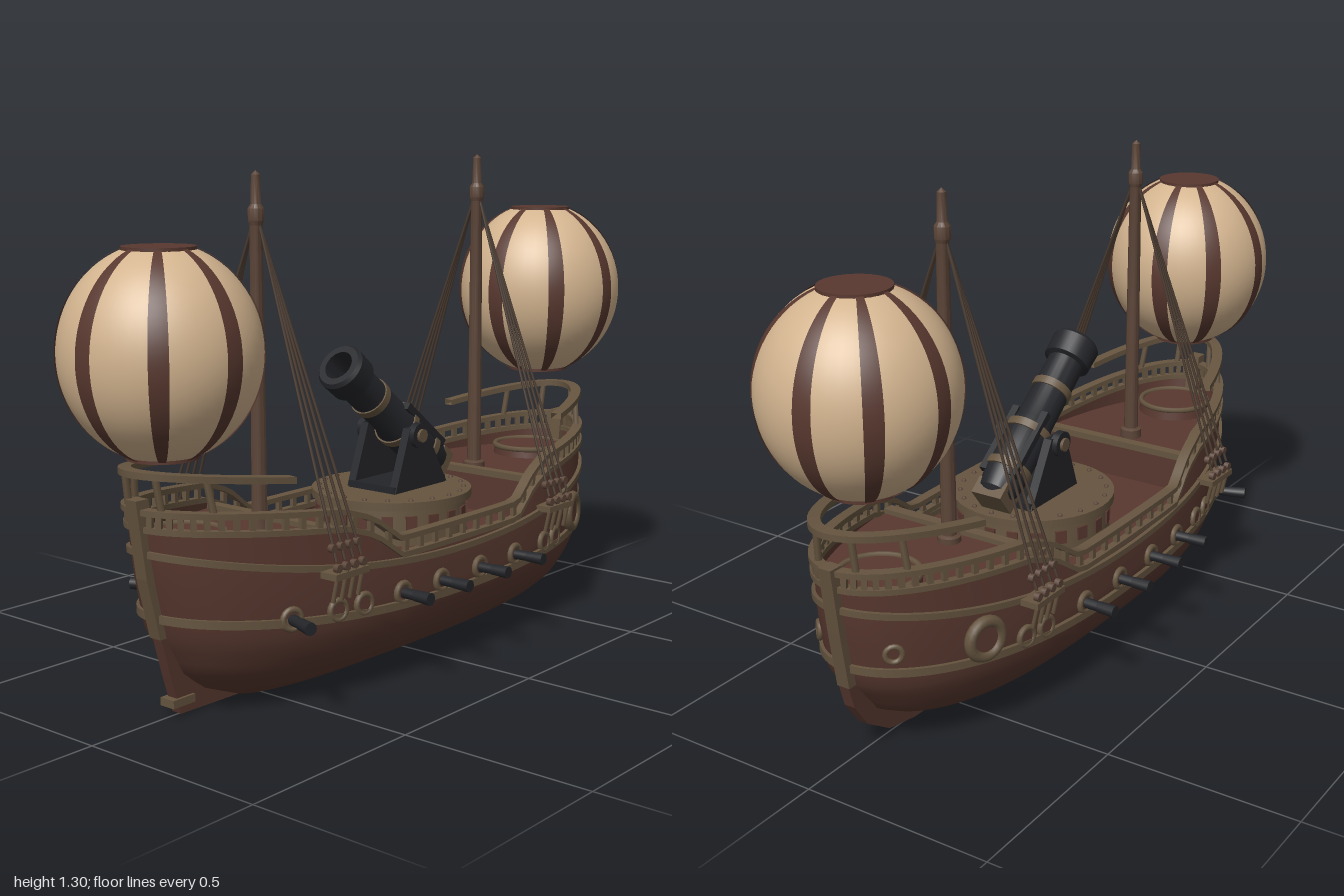
import * as THREE from 'three';
import { toCreasedNormals } from 'three/addons/utils/BufferGeometryUtils.js';

const mat = (name, color) => new THREE.MeshStandardMaterial({ name, color, side: THREE.DoubleSide });
const V = (x, y, z) => new THREE.Vector3(x, y, z);

// Linear lookup in a short table of [input, output] pairs
function table(pts, t) {
  if (t <= pts[0][0]) return pts[0][1];
  for (let i = 1; i < pts.length; i++) {
    const [a, va] = pts[i - 1], [b, vb] = pts[i];
    if (t <= b) return va + (vb - va) * (t - a) / (b - a);
  }
  return pts[pts.length - 1][1];
}

// Hull lines: stern and bow ends and half width by height, sheer height by length
const sternX = y => table([[0, -.55], [.05, -.67], [.1, -.73], [.2, -.785], [.35, -.82], [.6, -.86]], y);
const bowX = y => table([[0, .5], [.05, .68], [.1, .765], [.2, .84], [.35, .87], [.6, .895]], y);
const halfW = y => table([[0, .09], [.03, .15], [.06, .2], [.1, .242], [.15, .268], [.2, .28], [.3, .277], [.45, .258], [.6, .225]], y);
const sheer = u => table([[-1, .47], [-.5, .425], [-.4, .395], [-.3, .33], [.29, .33], [.4, .395], [.5, .425], [1, .465]], u);
const plan = u => Math.sqrt(Math.max(0, 1 - Math.abs(u) ** 2.8));

// Point on the hull at angle a (0 = bow, PI = stern) and height y, pushed out by off
function hullRaw(a, y) {
  const s = sternX(y), b = bowX(y), u = Math.cos(a);
  return V((s + b) / 2 + u * (b - s) / 2, y, halfW(y) * plan(u) * Math.sign(Math.sin(a)));
}
function hullNormal(a, y) {
  const t = hullRaw(a + .01, y).sub(hullRaw(a - .01, y));
  return V(t.z, 0, -t.x).normalize();
}
const hullPoint = (a, y, off = 0) => hullRaw(a, y).addScaledVector(hullNormal(a, y), off);
const angleAt = (x, y, side) => {
  const s = sternX(y), b = bowX(y);
  return side * Math.acos((x - (s + b) / 2) / ((b - s) / 2));
};

// Grid surface from a rule; its front is du x dv
function grid(nu, nv, fn) {
  const pos = [], idx = [];
  for (let i = 0; i <= nu; i++) for (let j = 0; j <= nv; j++) pos.push(...fn(i / nu, j / nv, i).toArray());
  for (let i = 0; i < nu; i++) for (let j = 0; j < nv; j++) {
    const a = i * (nv + 1) + j, b = a + nv + 1;
    idx.push(a, b, b + 1, a, b + 1, a + 1);
  }
  const g = new THREE.BufferGeometry();
  g.setAttribute('position', new THREE.Float32BufferAttribute(pos, 3));
  g.setIndex(idx);
  g.computeVertexNormals();
  return g;
}

export function createModel() {
  const wood = mat('brownWood', 0x58382f), trim = mat('weatheredTrim', 0x65543f), cream = mat('creamCanvas', 0xd3b48f);
  const iron = mat('blackIron', 0x242529), rope = mat('rope', 0x4a3b30), spar = mat('mastWood', 0x5c4538);
  const root = new THREE.Group();
  root.name = 'flyingShip';

  const add = (name, geo, m, x = 0, y = 0, z = 0, parent = root) => {
    const mesh = new THREE.Mesh(geo, m);
    mesh.name = name;
    mesh.position.set(x, y, z);
    parent.add(mesh);
    return mesh;
  };
  const box = (w, h, d) => new THREE.BoxGeometry(w, h, d);
  const cyl = (r1, r2, h, n = 16) => new THREE.CylinderGeometry(r1, r2, h, n);
  const rod = (name, p, q, r, m, n = 6) => {
    const mid = p.clone().add(q).multiplyScalar(.5), d = q.clone().sub(p);
    const mesh = add(name, cyl(r, r, d.length(), n), m, mid.x, mid.y, mid.z);
    mesh.quaternion.setFromUnitVectors(V(0, 1, 0), d.normalize());
    return mesh;
  };
  const plate = (name, pts, depth, m, z = 0) => {
    const shape = new THREE.Shape(pts.map(p => new THREE.Vector2(...p)));
    return add(name, new THREE.ExtrudeGeometry(shape, { depth, bevelEnabled: false }), m, 0, 0, z - depth / 2);
  };
  // Square-edged strip following the hull
  const band = (name, yOf, h, off, t, a0, a1, n, m) => {
    const sec = [[0, -1], [1, -1], [1, 1], [0, 1], [0, -1]];
    add(name, toCreasedNormals(grid(4, n, (s, v, i) => {
      const a = a0 + (a1 - a0) * v, y = yOf(Math.cos(a));
      const p = hullPoint(a, y, off + t * sec[i][0]);
      p.y += sec[i][1] * h / 2;
      return p;
    }), .7), m);
  };
  // Group on the hull side with local +z pointing outwards
  const onHull = (name, a, y) => {
    const g = new THREE.Group(), n = hullNormal(a, y);
    g.name = name;
    g.position.copy(hullPoint(a, y));
    g.rotation.y = Math.atan2(n.x, n.z);
    root.add(g);
    return g;
  };

  // Hull shell with flat bottom
  add('hull', grid(15, 144, (u, v, i) => {
    const a = v * Math.PI * 2;
    const p = hullRaw(a, sheer(Math.cos(a)) * (Math.max(0, i - 1) / 14) ** 1.5);
    if (i === 0) p.z = 0;
    return p;
  }), wood);

  // Wales, rails and rail posts
  const TAU = Math.PI * 2;
  band('lowerWale', u => .2 + .05 * u * u, .02, -.004, .014, 0, TAU, 120, trim);
  band('upperWale', u => .305 + .105 * u * u, .016, -.004, .014, 0, TAU, 120, trim);
  band('sheerStrake', u => sheer(u), .014, -.01, .02, 0, TAU, 144, trim);
  band('railCap', u => sheer(u) + .042, .014, -.016, .028, 0, TAU, 144, trim);
  for (let k = 0; k < 90; k++) {
    const a = (k + .5) / 90 * TAU, y = sheer(Math.cos(a)) + .021;
    add('railPost', box(.014, .036, .012), trim, 0, 0, 0, onHull('railPostMount', a, y));
  }
  for (const end of [0, Math.PI]) {
    band('highRail', u => .6 - .11 * (1 - Math.abs(u)), .016, -.02, .03, end - .88, end + .88, 28, trim);
    for (const d of [-.5, -.2, .2, .5]) {
      const a = end + d, top = .6 - .11 * (1 - Math.abs(Math.cos(a)));
      rod('highRailPost', hullPoint(a, sheer(Math.cos(a)) + .04, -.005), hullPoint(a, top, -.005), .009, trim);
    }
  }

  // Decks and bulkheads
  const deck = (name, x0, x1, y) => add(name, grid(24, 2, (u, v) => {
    const x = x0 + (x1 - x0) * u;
    return V(x, y, Math.abs(hullRaw(angleAt(x, y, 1), y).z) * .99 * (1 - 2 * v));
  }), wood);
  deck('waistDeck', -.39, .39, .3);
  deck('sternDeck', -.825, -.38, .4);
  deck('bowDeck', .38, .872, .41);
  for (const [x, y] of [[-.38, .4], [.385, .41]]) {
    add('bulkhead', box(.015, y - .3, .49), wood, x, (y + .3) / 2);
    add('bulkheadBeam', box(.03, .018, .48), trim, x, y + .004);
  }
  for (const x of [-.71, .72]) {
    add('deckHatch', cyl(.1, .105, .03, 24), wood, x, .42);
    add('hatchRim', new THREE.TorusGeometry(.1, .008, 6, 28), trim, x, .435).rotation.x = Math.PI / 2;
  }

  // Stem, skeg and rudder irons
  plate('stem', [[.5, 0], [.62, .004], [.72, .022], [.8, .075], [.845, .14], [.865, .21], [.8, .21], [.7, .08]], .03, wood);
  plate('stemPost', [[.83, .2], [.864, .2], [.888, .35], [.91, .52], [.87, .52], [.85, .35]], .036, trim);
  plate('skeg', [[-.5, 0], [-.74, .004], [-.77, .1], [-.8, .21], [-.74, .21], [-.66, .07]], .03, wood);
  plate('sternPost', [[-.77, .2], [-.803, .2], [-.84, .35], [-.868, .54], [-.83, .54], [-.8, .35]], .036, trim);
  add('rudderIron', box(.07, .02, .045), trim, -.735, .035);

  // Gun ports, guns and large side rings
  for (const side of [1, -1]) {
    for (const x of [-.57, -.445, -.365, -.23, -.08, .085, .25, .41, .48]) {
      const port = onHull('gunPort', angleAt(x, .235, side), .235);
      add('portRing', new THREE.TorusGeometry(.024, .008, 8, 18), trim, 0, 0, .004, port);
      add('portHole', cyl(.02, .02, .008), wood, 0, 0, .004, port).rotation.x = Math.PI / 2;
      if ([-.57, -.23, -.08, .085, .25].includes(x)) {
        add('gunBarrel', cyl(.012, .014, .1, 12), iron, 0, 0, .045, port).rotation.x = Math.PI / 2;
        add('gunMuzzle', cyl(.016, .014, .05, 12), iron, 0, 0, .07, port).rotation.x = Math.PI / 2;
      }
    }
    const ring = onHull('sideRing', angleAt(.61, .28, side), .28);
    add('ringFrame', new THREE.TorusGeometry(.045, .015, 8, 24), trim, 0, 0, .008, ring);
    add('ringPlate', cyl(.042, .042, .02, 20), wood, 0, 0, .004, ring).rotation.x = Math.PI / 2;
    const eye = onHull('bowPort', angleAt(.81, .295, side), .295);
    add('bowPortRing', new THREE.TorusGeometry(.02, .007, 8, 16), trim, 0, 0, .003, eye);
  }

  // Masts with shrouds, channels and deadeyes
  for (const [mx, top] of [[-.45, 1.27], [.443, 1.3]]) {
    const prof = [[0, .4], [.03, .4], [.03, .425], [.02, .43], [.018, .8], [.016, top - .13], [.02, top - .12],
      [.02, top - .09], [.013, top - .08], [.011, top - .01], [0, top]];
    add('mast', toCreasedNormals(new THREE.LatheGeometry(prof.map(p => new THREE.Vector2(...p)), 12), .6), spar, mx, 0, 0);
    for (const side of [1, -1]) {
      add('channel', box(.12, .016, .05), trim, mx, .335, side * .278);
      for (let k = 0; k < 4; k++) {
        const x = mx - .045 + k * .03;
        rod('shroud', V(x, .37, side * .29), V(mx, top - .13, side * .012), .004, rope, 5);
        rod('chainPlate', V(x, .27, side * .279), V(x, .345, side * .296), .006, trim);
        for (const y of [.355, .4]) {
          const z = side * (.294 - (y - .355) * .36);
          add('deadeye', cyl(.011, .011, .014, 8), spar, x, y, z).rotation.x = Math.PI / 2;
        }
      }
    }
  }

  // Turntable
  const tx = .065;
  add('turntableDrum', cyl(.2, .205, .1, 40), trim, tx, .35);
  add('turntableTop', cyl(.216, .216, .022, 40), trim, tx, .406);
  for (let k = 0; k < 20; k++) {
    const a = k / 20 * TAU;
    add('rivet', new THREE.SphereGeometry(.007, 8, 5), spar, tx + .195 * Math.cos(a), .417, .195 * Math.sin(a));
    const slot = add('drumSlot', box(.03, .035, .006), wood, tx + .203 * Math.cos(a), .36, .203 * Math.sin(a));
    slot.rotation.y = Math.PI / 2 - a;
  }

  // Mortar carriage
  add('carriageBase', box(.22, .02, .16), iron, .09, .425);
  for (const side of [1, -1]) {
    plate('carriageCheek', [[-.02, .42], [.2, .42], [.17, .47], [.105, .585], [.04, .585]], .024, iron, side * .072);
    add('trunnion', cyl(.034, .034, .02, 18), iron, .07, .565, side * .088).rotation.x = Math.PI / 2;
    add('trunnionCap', cyl(.018, .018, .012, 12), trim, .07, .565, side * .1).rotation.x = Math.PI / 2;
  }

  // Mortar barrel with bands
  const mortar = new THREE.Group();
  mortar.name = 'mortar';
  mortar.position.set(.065, .6, 0);
  mortar.rotation.z = THREE.MathUtils.degToRad(52);
  root.add(mortar);
  const barrel = [[0, -.24], [.03, -.24], [.05, -.22], [.058, -.17], [.06, -.02], [.052, 0], [.05, .2], [.064, .205],
    [.066, .265], [.058, .275], [.04, .275], [.036, .15], [0, .15]];
  add('barrel', toCreasedNormals(new THREE.LatheGeometry(barrel.map(p => new THREE.Vector2(...p)), 28), .5), iron, 0, 0, 0, mortar);
  for (const [y, r] of [[-.15, .063], [-.03, .064], [.11, .055]])
    add('barrelBand', cyl(r, r, .022, 28), trim, 0, y, 0, mortar);
  add('breechBlock', box(.075, .05, .09), trim, 0, -.225, 0, mortar);
  for (const z of [-.045, .045]) add('barrelRib', box(.02, .2, .02), iron, .035, -.08, z, mortar);

  // Striped balloons
  for (const [x, y] of [[-.765, .865], [.763, .903]]) {
    const balloon = new THREE.Group();
    balloon.name = 'balloon';
    balloon.position.set(x, y, 0);
    root.add(balloon);
    const t0 = .36, t1 = Math.PI - .72;
    const skin = add('canvas', new THREE.SphereGeometry(.235, 48, 28, 0, TAU, t0, t1), cream, 0, 0, 0, balloon);
    skin.scale.y = 1.07;
    for (const deg of [0, 46, 99, 137, 180, 225, 272, 316]) {
      const phi = THREE.MathUtils.degToRad(deg + 90 - 5.5);
      const stripe = new THREE.SphereGeometry(.238, 4, 28, phi, THREE.MathUtils.degToRad(11), t0, t1);
      add('stripe', stripe, wood, 0, 0, 0, balloon).scale.y = 1.07;
    }
    for (const s of [1, -1]) add('balloonCap', cyl(.086, .086, .012, 28), wood, 0, s * .236, 0, balloon);
  }
  return root;
}
